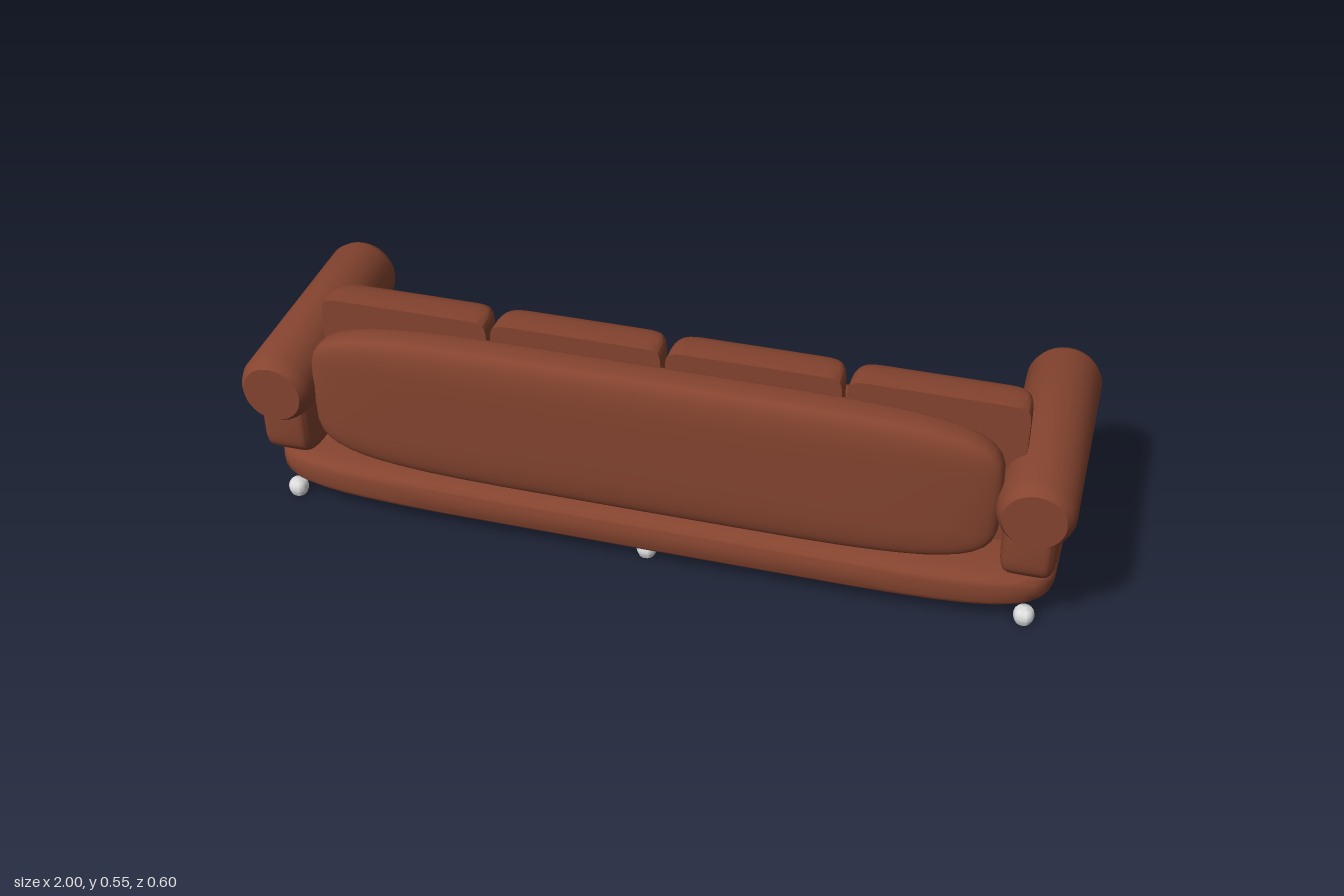
import * as THREE from 'three';
import { toCreasedNormals } from 'three/addons/utils/BufferGeometryUtils.js';

// Signed power that snaps tiny values to zero
const spow = (v, e) => (Math.abs(v) < 1e-6 ? 0 : Math.sign(v) * Math.abs(v) ** e);

// Puffy block: plan sets the squareness of the outline, section that of the edge roll.
// Its axis runs along y; half keeps only the upper half with a flat underside.
function puff(w, h, d, plan, section, half = false) {
  const g = new THREE.SphereGeometry(1, 48, 32);
  const p = g.attributes.position;
  for (let i = 0; i < p.count; i++) {
    const x = p.getX(i), y = p.getY(i), z = p.getZ(i);
    const c = Math.hypot(x, z);
    const r = c < 1e-6 ? 0 : c ** (2 / section);
    const k = c < 1e-6 ? 1 : c;
    const py = spow(y, 2 / section);
    p.setXYZ(i,
      (w / 2) * r * spow(x / k, 2 / plan),
      half ? h * Math.max(py, 0) : (h / 2) * py,
      (d / 2) * r * spow(z / k, 2 / plan));
  }
  return toCreasedNormals(g, 0.9);
}

// The same block with its axis along -z
const upright = (w, h, d, plan, section, half) =>
  puff(w, d, h, plan, section, half).rotateX(-Math.PI / 2);

export function createModel() {
  const leather = new THREE.MeshStandardMaterial({ color: 0x85442f });
  leather.name = 'brown leather';
  const pale = new THREE.MeshStandardMaterial({ color: 0xdedede });
  pale.name = 'pale grey';

  const sofa = new THREE.Group();
  sofa.name = 'sofa';
  const add = (name, geometry, material, x, y, z) => {
    const mesh = new THREE.Mesh(geometry, material);
    mesh.name = name;
    mesh.position.set(x, y, z);
    sofa.add(mesh);
    return mesh;
  };

  // Base and backrest
  add('base', puff(1.94, 0.12, 0.57, 6.5, 4.5), leather, 0, 0.09, -0.004);
  add('backrest', upright(1.66, 0.385, 0.12, 5, 4), leather, 0, 0.34, 0.22);

  // Arms: a padded support under a bevelled roll
  const support = puff(0.135, 0.24, 0.57, 7, 5);
  const rollProfile = [[0, -0.3], [0.072, -0.3], [0.083, -0.285], [0.09, -0.265],
    [0.09, 0.265], [0.083, 0.285], [0.072, 0.3], [0, 0.3]];
  const roll = toCreasedNormals(
    new THREE.LatheGeometry(rollProfile.map(([r, y]) => new THREE.Vector2(r, y)), 32)
      .rotateX(Math.PI / 2), 0.7);
  for (const [side, s] of [['left', 1], ['right', -1]]) {
    add(side + 'ArmSupport', support, leather, s * 0.903, 0.255, -0.01);
    add(side + 'ArmRoll', roll, leather, s * 0.91, 0.35, 0);
  }

  // Seat cushions, the last one overlapping its neighbour
  const seat = puff(0.415, 0.15, 0.42, 12, 4);
  [-0.615, -0.195, 0.23, 0.545].forEach((x, i) =>
    add('seatCushion' + (i + 1), seat, leather, x, 0.205, -0.045));

  // Back cushions: flat behind, bulging forward
  const back = upright(0.415, 0.38, 0.15, 16, 3.6, true);
  [-0.615, -0.19, 0.235, 0.66].forEach((x, i) =>
    add('backCushion' + (i + 1), back, leather, x, 0.362, 0.16));

  // Throw pillows leaning at both ends
  const pillow = upright(0.19, 0.165, 0.045, 3.2, 2.4);
  const palePillow = add('palePillow', pillow, pale, -0.725, 0.352, -0.003);
  palePillow.rotation.y = 0.1;
  const brownPillow = add('brownPillow', pillow, leather, 0.715, 0.352, -0.003);
  brownPillow.rotation.y = -0.05;

  // Ball feet with flattened ends
  const footProfile = [[0, 0], [0.019, 0], [0.0235, 0.01], [0.025, 0.018],
    [0.0235, 0.029], [0.018, 0.037], [0, 0.042]];
  const foot = toCreasedNormals(
    new THREE.LatheGeometry(footProfile.map(([r, y]) => new THREE.Vector2(r, y)), 16), 0.8);
  for (const x of [-0.91, 0, 0.91])
    for (const z of [-0.23, 0.225]) add('foot', foot, pale, x, 0, z);

  return sofa;
}
